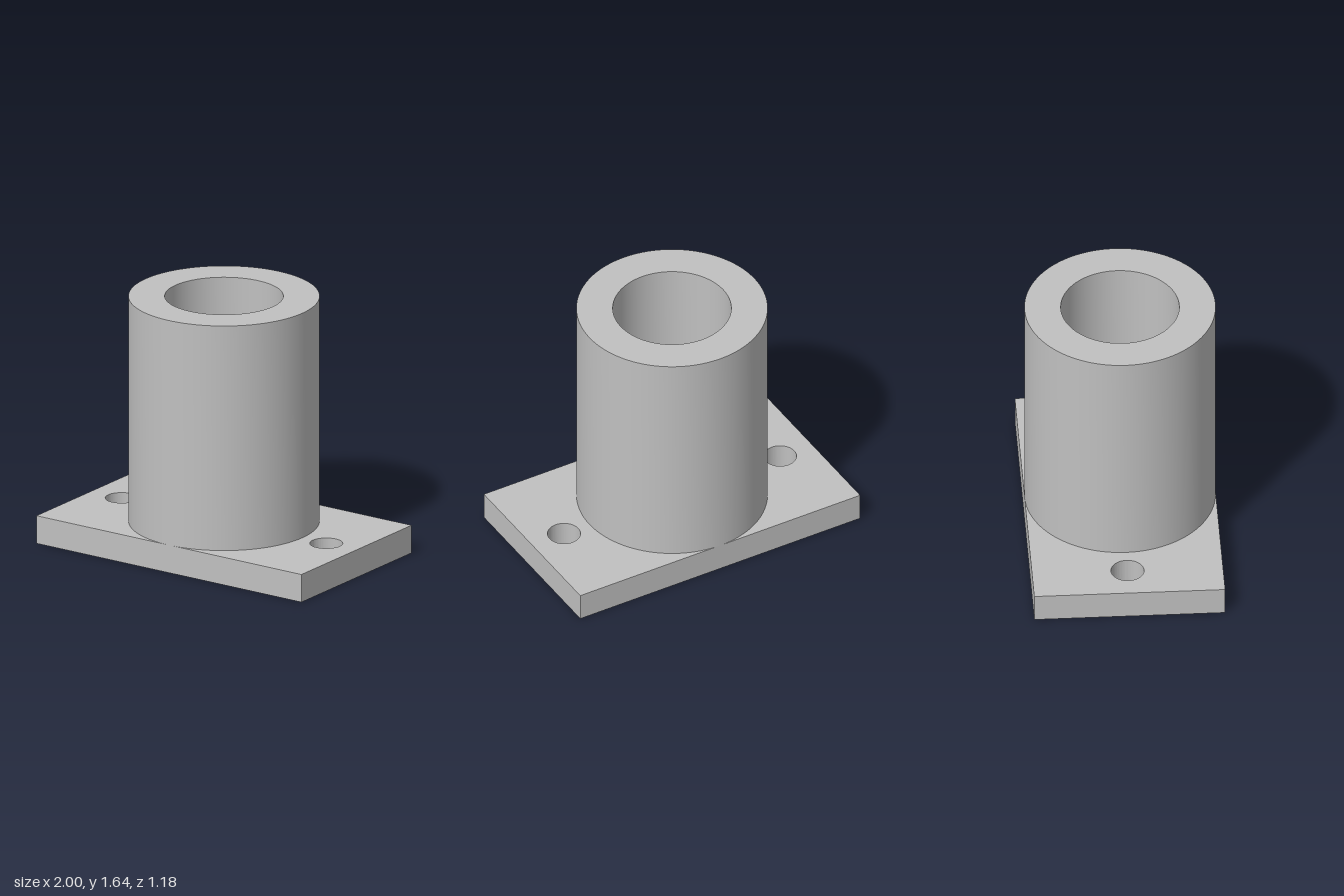
import * as THREE from 'three';
import { toCreasedNormals } from 'three/addons/utils/BufferGeometryUtils.js';

const PLATE_TOP = 0.18, TOP = 1.64, RADIUS = 0.59;

function circle(PathType, x, r) {
  const path = new PathType();
  path.absarc(x, 0, r, 0, Math.PI * 2, false);
  return path;
}

// Extrude a plan outline upwards from y0 to y1, smooth in the bores, sharp at the rims
function extrudeUp(name, shape, y0, y1, material) {
  const geo = new THREE.ExtrudeGeometry(shape, { depth: y1 - y0, bevelEnabled: false, curveSegments: 72 });
  geo.rotateX(-Math.PI / 2);
  geo.translate(0, y0, 0);
  const mesh = new THREE.Mesh(toCreasedNormals(geo, Math.PI / 6), material);
  mesh.name = name;
  return mesh;
}

export function createModel() {
  const group = new THREE.Group();
  group.name = 'flangedSocket';
  const metal = new THREE.MeshStandardMaterial({ color: 0xc0c0c0 });
  metal.name = 'grey metal';

  // Base plate with a centre hole and two bolt holes
  const plate = new THREE.Shape([
    new THREE.Vector2(-1, -RADIUS), new THREE.Vector2(1, -RADIUS),
    new THREE.Vector2(1, RADIUS), new THREE.Vector2(-1, RADIUS),
  ]);
  plate.holes.push(circle(THREE.Path, 0, 0.153));
  for (const side of [-1, 1]) plate.holes.push(circle(THREE.Path, side * 0.772, 0.102));
  group.add(extrudeUp('basePlate', plate, 0, PLATE_TOP, metal));

  // Upright sleeve with a wide bore; the plate forms its floor
  const sleeve = circle(THREE.Shape, 0, RADIUS);
  sleeve.holes.push(circle(THREE.Path, 0, 0.366));
  group.add(extrudeUp('sleeve', sleeve, PLATE_TOP, TOP, metal));

  return group;
}
